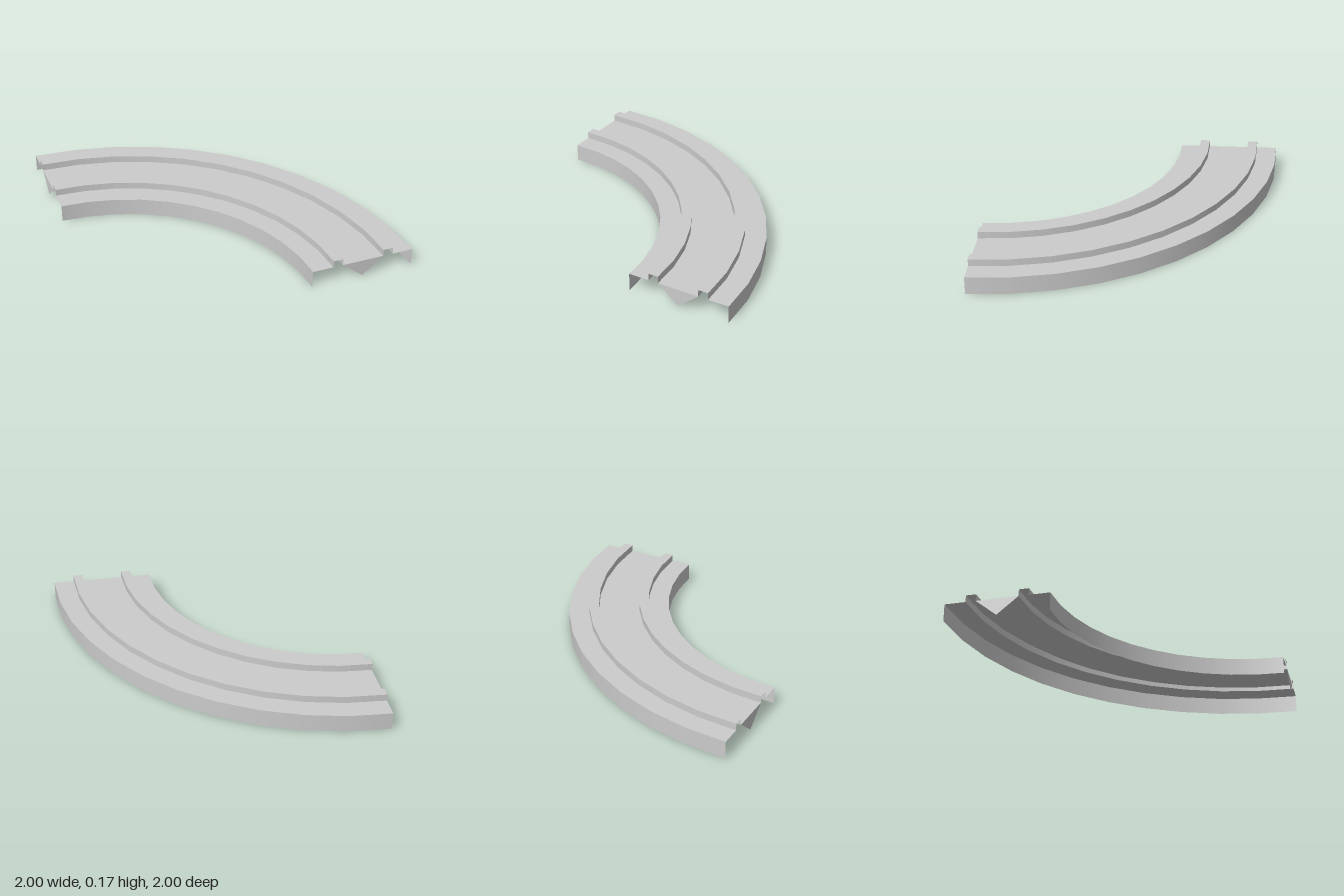
import * as THREE from 'three';

const SEGMENTS = 11;
const BED = 0.12;   // height of the road surface
const RAIL = 0.167; // height of the rail tops
const R = { inner: 1.295, railA: 1.437, railB: 1.504, railC: 1.79, railD: 1.858, outer: 2 };

export function createModel() {
  const model = new THREE.Group();
  model.name = 'curvedTrack';
  const material = new THREE.MeshStandardMaterial({ color: 0xcccccc, side: THREE.DoubleSide });

  // All parts sweep a quarter turn about the corner of the footprint
  const curve = new THREE.Group();
  curve.name = 'quarterTurn';
  curve.position.set(-1, 0, 1);
  model.add(curve);

  // Sweeps each straight piece of a profile separately, so its edges stay sharp
  function addSweep(name, profile) {
    const part = new THREE.Group();
    part.name = name;
    for (let i = 0; i < profile.length - 1; i++) {
      const points = [profile[i], profile[i + 1]].map(([r, y]) => new THREE.Vector2(r, y));
      const geometry = new THREE.LatheGeometry(points, SEGMENTS, Math.PI / 2, Math.PI / 2);
      geometry.normalizeNormals();
      const mesh = new THREE.Mesh(geometry, material);
      mesh.name = name + 'Face';
      part.add(mesh);
    }
    curve.add(part);
  }

  // Hollow sheet section, listed from the outer edge to the inner edge
  addSweep('outerSkirt', [[R.outer, 0], [R.outer, BED], [R.railD, BED]]);
  addSweep('outerRail', [[R.railD, BED], [R.railD, RAIL], [R.railC, RAIL], [R.railC, BED]]);
  addSweep('roadBed', [[R.railC, BED], [R.railB, BED]]);
  addSweep('innerRail', [[R.railB, BED], [R.railB, RAIL], [R.railA, RAIL], [R.railA, BED]]);
  addSweep('innerSkirt', [[R.railA, BED], [R.inner, BED], [R.inner, 0]]);

  // Triangular tab hanging below the bed at each open end
  const tab = new THREE.Shape([
    new THREE.Vector2(R.railB, BED),
    new THREE.Vector2((R.railB + R.railC) / 2, 0.004),
    new THREE.Vector2(R.railC, BED),
  ]);
  const tabGeometry = new THREE.ShapeGeometry(tab);
  [['frontEndTab', 0], ['sideEndTab', Math.PI / 2]].forEach(([name, angle]) => {
    const mesh = new THREE.Mesh(tabGeometry, material);
    mesh.name = name;
    mesh.rotation.y = angle;
    curve.add(mesh);
  });

  return model;
}
